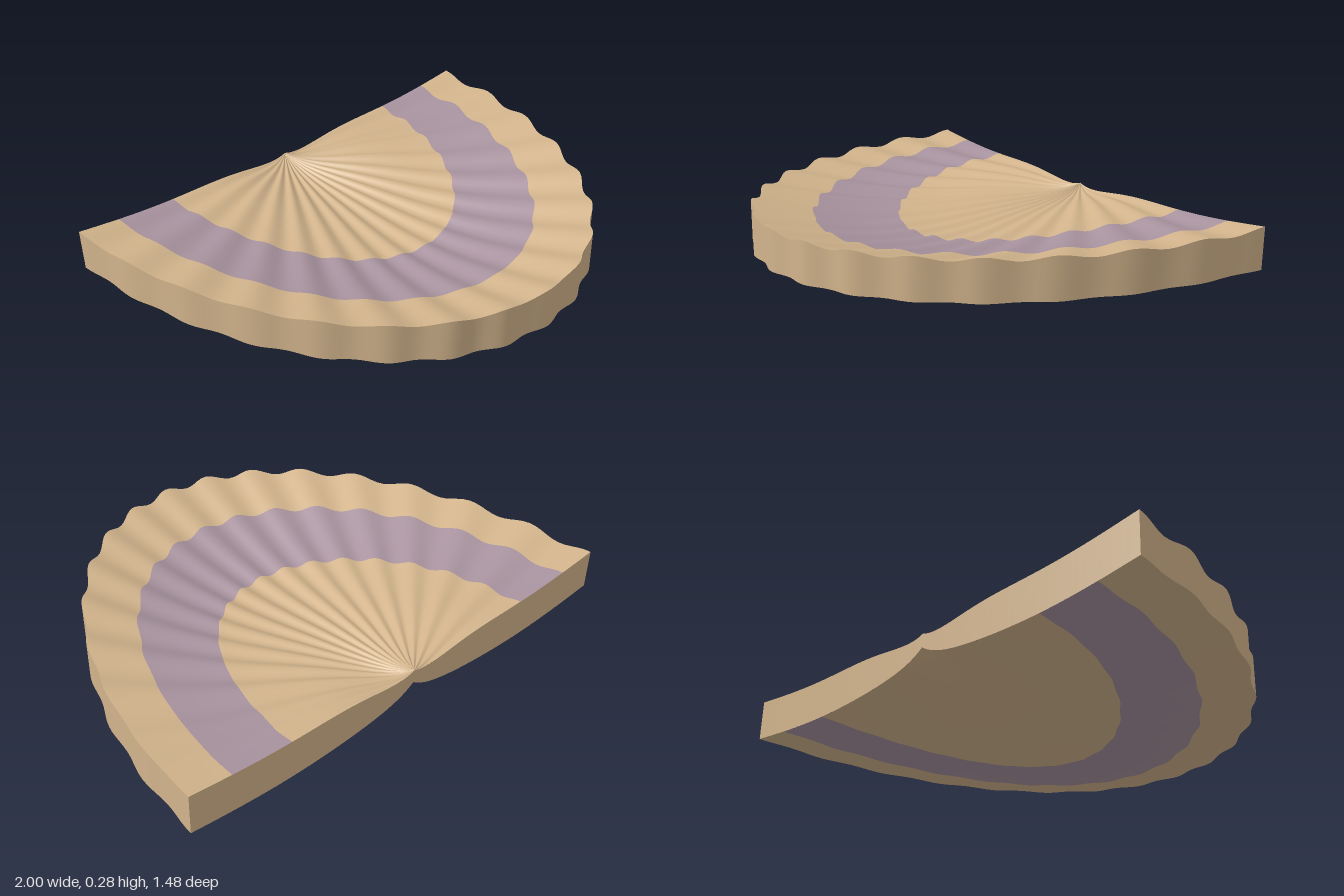
import * as THREE from 'three';

const RIBS = 16;        // ribs across the half fan
const DEPTH = 1.48;     // hinge to front lip
const HINGE_Z = -0.74;

// Bowl depth at distance t (0 hinge, 1 rim) and fan angle a
const sag = (t, a) =>
  (0.035 + 0.08 * Math.pow(Math.abs(Math.sin(a)), 1.8)) * Math.sin(Math.PI * Math.pow(t, 1.09));

const rib = (a) => Math.cos(2 * RIBS * a);

function bottomY(t, a) {
  return 0.115 - sag(t, a) + 0.055 * Math.exp(-t / 0.08);
}

function topY(t, a) {
  const thinning = 0.062 * Math.exp(-Math.pow(t / 0.25, 2));
  const beak = 0.017 * Math.exp(-t / 0.04);
  return 0.27 - sag(t, a) - thinning + beak + 0.01 * Math.sqrt(t) * rib(a);
}

// Point on the shell; s = 0 underside, 1 ribbed upper side
function shellPoint(t, a, s) {
  const r = t * (1 - 0.006 * t * (1 - rib(a)));
  const y = THREE.MathUtils.lerp(bottomY(t, a), topY(t, a), s);
  return [r * Math.cos(a), y, HINGE_Z + DEPTH * r * Math.sin(a)];
}

// Grid surface from a function of (u, v); the front faces du x dv
function surface(fn, nu, nv) {
  const pos = [], index = [];
  for (let i = 0; i <= nu; i++) {
    for (let j = 0; j <= nv; j++) pos.push(...fn(i / nu, j / nv));
  }
  for (let i = 0; i < nu; i++) {
    for (let j = 0; j < nv; j++) {
      const a = i * (nv + 1) + j, b = a + nv + 1;
      index.push(a, b, a + 1, b, b + 1, a + 1);
    }
  }
  const g = new THREE.BufferGeometry();
  g.setAttribute('position', new THREE.Float32BufferAttribute(pos, 3));
  g.setIndex(index);
  g.computeVertexNormals();
  return g;
}

export function createModel() {
  const model = new THREE.Group();
  model.name = 'fanShell';
  const tan = new THREE.MeshStandardMaterial({ color: 0xd2b48c });
  const purple = new THREE.MeshStandardMaterial({ color: 0xa8939f });
  const STEPS = RIBS * 10;

  const add = (name, geometry, material) => {
    const mesh = new THREE.Mesh(geometry, material);
    mesh.name = name;
    model.add(mesh);
  };

  // Concentric colour zones, each with an upper and a lower skin
  const zones = [
    ['innerFan', 0, 0.577, tan, 30],
    ['colourBand', 0.577, 0.828, purple, 10],
    ['outerBand', 0.828, 1, tan, 8],
  ];
  for (const [name, t0, t1, material, rows] of zones) {
    const at = (u) => THREE.MathUtils.lerp(t0, t1, u);
    add(name + 'Top', surface((u, v) => shellPoint(at(u), Math.PI * (1 - v), 1), rows, STEPS), material);
    add(name + 'Underside', surface((u, v) => shellPoint(at(u), Math.PI * v, 0), rows, STEPS), material);
  }

  // Scalloped rim wall
  add('rimWall', surface((u, v) => shellPoint(1, Math.PI * v, u), 2, STEPS), tan);

  // Flat hinge wall along the straight back edge, sampled finer at the beak
  add('hingeWall', surface((u, v) => {
    const k = 2 * v - 1;
    return shellPoint(Math.pow(Math.abs(k), 1.5), k < 0 ? Math.PI : 0, u);
  }, 1, 80), tan);

  return model;
}
